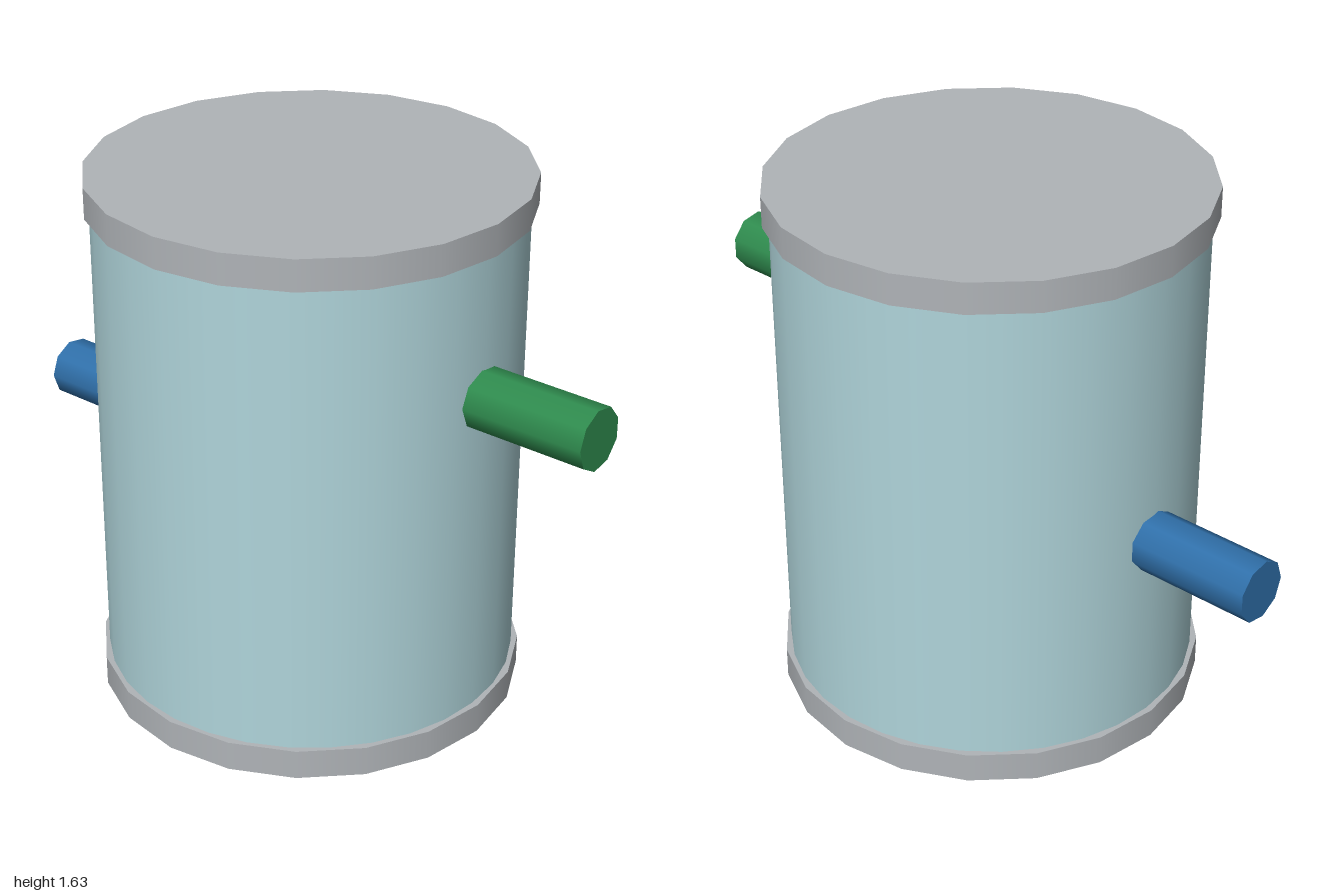
import * as THREE from 'three';

const mat = (name, color) => {
  const m = new THREE.MeshStandardMaterial({ color });
  m.name = name;
  return m;
};

export function createModel() {
  const group = new THREE.Group();
  group.name = 'tank';
  const grey = mat('cap grey', 0xb0b4b8);
  const paleBlue = mat('tank pale blue', 0xb0d5db);
  const green = mat('outlet green', 0x2f8b4e);
  const blue = mat('inlet blue', 0x3070aa);

  const add = (name, geometry, material, x, y) => {
    const mesh = new THREE.Mesh(geometry, material);
    mesh.name = name;
    mesh.position.set(x, y, 0);
    group.add(mesh);
  };

  // Upright tank wall between two wider end caps
  add('tankBody', new THREE.CylinderGeometry(0.625, 0.625, 1.5, 32), paleBlue, 0, 0.8175);
  const cap = new THREE.CylinderGeometry(0.645, 0.645, 0.093, 20);
  add('bottomCap', cap, grey, 0, 0.0465);
  add('topCap', cap, grey, 0, 1.5885);

  // Side pipes, running from inside the wall out to x = 1 and x = -1
  const pipe = new THREE.CylinderGeometry(0.093, 0.093, 0.42, 9).rotateZ(-Math.PI / 2);
  add('outletPipe', pipe, green, 0.79, 1.11);
  add('inletPipe', pipe, blue, -0.79, 0.695);

  return group;
}
